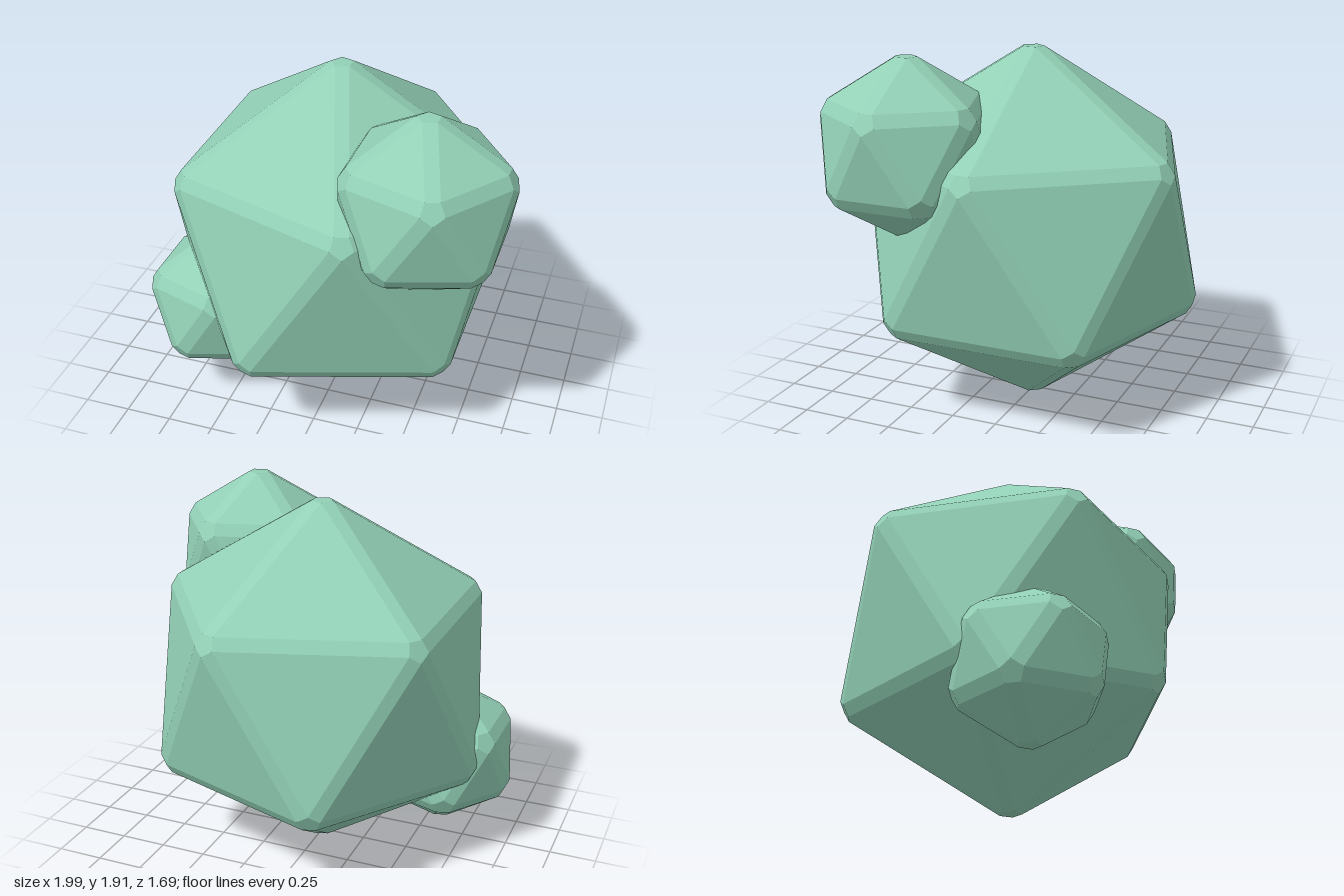
import * as THREE from 'three';
import { ConvexGeometry } from 'three/addons/geometries/ConvexGeometry.js';

const jade = new THREE.MeshStandardMaterial({ color: 0x92d0b6 });
jade.name = 'jade';

// Icosahedron corners: two poles and two staggered rings of five
function corners() {
  const h = 1 / Math.sqrt(5), r = 2 / Math.sqrt(5);
  const list = [new THREE.Vector3(0, 1, 0), new THREE.Vector3(0, -1, 0)];
  for (let i = 0; i < 5; i++) {
    const a = i * Math.PI * 0.4;
    list.push(new THREE.Vector3(r * Math.cos(a), h, r * Math.sin(a)));
    list.push(new THREE.Vector3(-r * Math.cos(a), -h, -r * Math.sin(a)));
  }
  return list;
}

// Each corner becomes a small pentagon and each edge a narrow bevel strip
function bevelledIcosahedron(radius, bevel) {
  const v = corners(), points = [];
  const near = (a, b) => a !== b && a.dot(b) > 0.4;
  for (const a of v) {
    for (let i = 0; i < v.length; i++) {
      for (let j = i + 1; j < v.length; j++) {
        if (!near(a, v[i]) || !near(a, v[j]) || !near(v[i], v[j])) continue;
        // direction across the corner towards the face a, v[i], v[j]
        const u = v[i].clone().add(v[j]);
        u.addScaledVector(a, -u.dot(a)).normalize();
        points.push(a.clone().multiplyScalar(radius).addScaledVector(u, bevel));
      }
    }
  }
  return new ConvexGeometry(points);
}

export function createModel() {
  const group = new THREE.Group();
  group.name = 'crystalCluster';
  const parts = [
    ['mainCrystal', 0.957, [0, 0.957, 0]],
    ['upperCrystal', 0.458, [0.558, 1.457, 0.435]],
    ['lowerCrystal', 0.395, [-0.62, 0.523, 0.245]],
  ];
  for (const [name, radius, position] of parts) {
    const mesh = new THREE.Mesh(bevelledIcosahedron(radius, 0.06), jade);
    mesh.name = name;
    mesh.position.set(...position);
    group.add(mesh);
  }
  return group;
}
